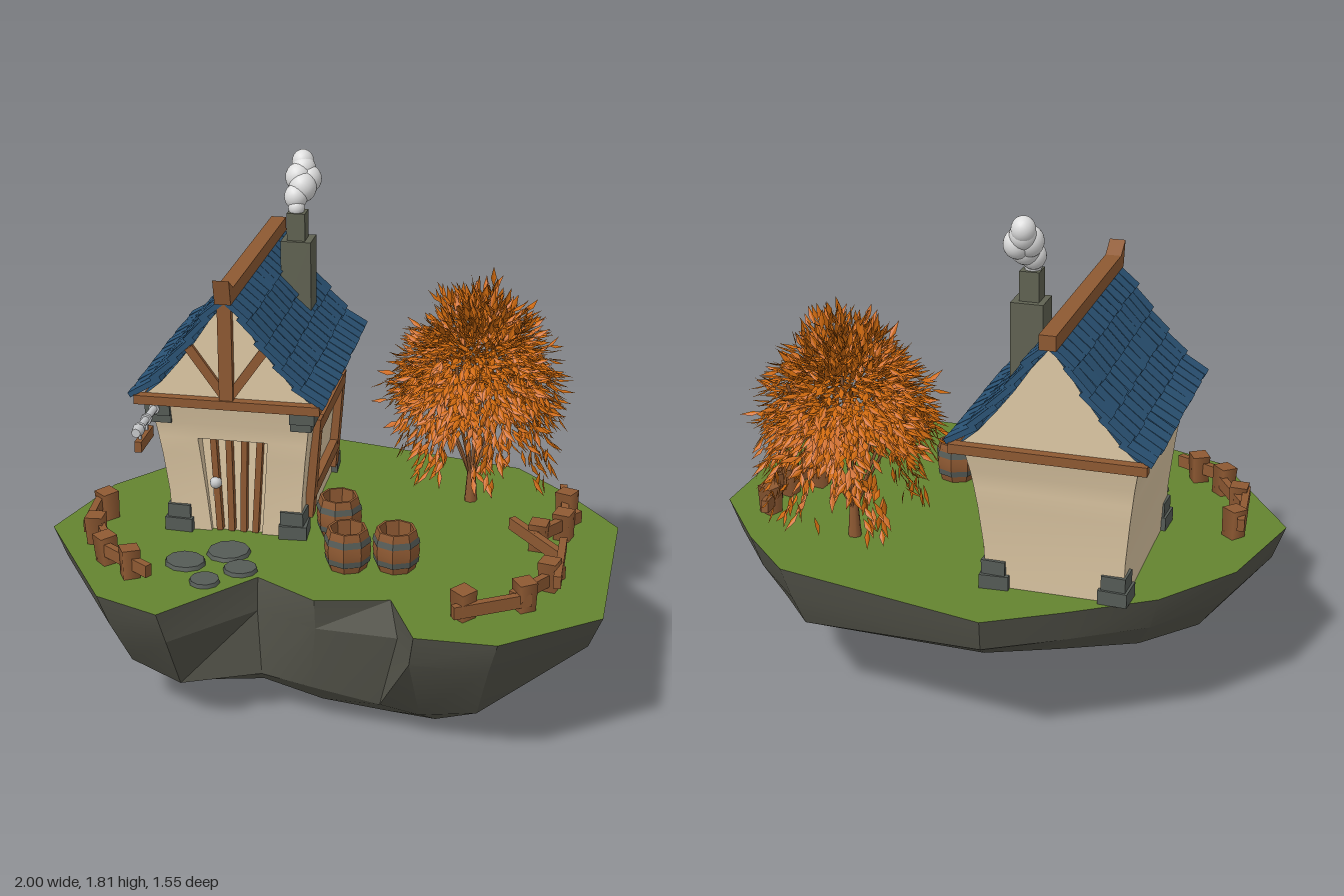
import * as THREE from 'three';
import { toCreasedNormals } from 'three/addons/utils/BufferGeometryUtils.js';

const V = (x, y, z) => new THREE.Vector3(x, y, z);
const paint = (name, color, side = THREE.FrontSide) => {
  const m = new THREE.MeshStandardMaterial({ color, side });
  m.name = name;
  return m;
};
const GROUND = 0.55, CX = -0.34, CZ = -0.2;

let seed = 7;
const rnd = () => (seed = (seed * 16807) % 2147483647) / 2147483647;
const jitter = s => V(rnd() - .5, rnd() - .5, rnd() - .5).multiplyScalar(s);

// Skin between rings of points, creased by angle
function loft(rings, crease) {
  const pos = [], n = rings[0].length;
  const tri = (...p) => {
    if (p[0].equals(p[1]) || p[1].equals(p[2]) || p[0].equals(p[2])) return;
    p.forEach(v => pos.push(v.x, v.y, v.z));
  };
  for (let r = 0; r < rings.length - 1; r++) for (let i = 0; i < n; i++) {
    const j = (i + 1) % n, a = rings[r], b = rings[r + 1];
    tri(a[i], a[j], b[j]);
    tri(a[i], b[j], b[i]);
  }
  const g = new THREE.BufferGeometry();
  g.setAttribute('position', new THREE.Float32BufferAttribute(pos, 3));
  g.computeVertexNormals();
  return toCreasedNormals(g, crease);
}

export function createModel() {
  const root = new THREE.Group();
  root.name = 'floatingCottage';
  const grass = paint('grass', 0x648430), rock = paint('rock', 0x55554b), plaster = paint('plaster', 0xdec8a4),
    wood = paint('wood', 0x8e5932), tile = paint('roofTile', 0x2a5274), stone = paint('cornerStone', 0x555b56),
    brick = paint('chimneyStone', 0x606252), silver = paint('silver', 0xc6c8ca), smoke = paint('smoke', 0xdedede),
    leaf = paint('autumnLeaf', 0xce690e, THREE.DoubleSide);

  const group = name => { const g = new THREE.Group(); g.name = name; root.add(g); return g; };
  const add = (parent, name, geo, mat, x = 0, y = 0, z = 0) => {
    const m = new THREE.Mesh(geo, mat);
    m.name = name;
    m.position.set(x, y, z);
    parent.add(m);
    return m;
  };
  const box = (parent, name, mat, x, y, z, w, h, d) => add(parent, name, new THREE.BoxGeometry(w, h, d), mat, x, y, z);
  // Wooden box running from a to b
  const beam = (parent, name, a, b, w, h) => {
    const m = new THREE.Mesh(new THREE.BoxGeometry(w, h, a.distanceTo(b)), wood);
    m.name = name;
    m.position.copy(a).lerp(b, 0.5);
    m.lookAt(b);
    parent.add(m);
  };

  // Island: outline, then lower rings closing on an underside point
  const outline = [[-1, .2], [-.89, -.19], [-.68, -.46], [-.4, -.64], [-.16, -.78], [.6, -.62], [.8, -.42], [1, -.16],
    [.98, .53], [.66, .77], [.39, .77], [.28, .53], [.03, .58], [-.19, .45], [-.46, .77], [-.69, .68]];
  const rim = outline.map(([x, z], i) => i === 11 ? V(.31, .43, .57) : i === 13 ? V(-.19, .43, .465) : V(x * .955, .43, z * .955));
  const mid = [[-.78, .27, .15], [-.76, .3, -.14], [-.6, .33, -.38], [-.36, .35, -.53], [-.14, .37, -.66], [.55, .31, -.54],
    [.7, .29, -.35], [.82, .31, -.12], [.76, .28, .4], [.58, .16, .55], [.38, .1, .5], [.24, .12, .49],
    [0, .17, .5], [-.18, .18, .46], [-.45, .16, .54], [-.64, .2, .48]];
  const low = [[-.54, .115, .2], [-.52, .14, .1], [-.46, .19, -.08], [-.3, .23, -.2], [-.1, .23, -.25], [.4, .13, -.12],
    [.45, .09, -.02], [.48, .05, .1], [.45, 0, .2], [.46, .01, .3], [.42, .015, .38], [.26, .035, .39],
    [.03, .085, .43], [-.18, .138, .42], [-.44, .105, .42], [-.53, .11, .36]];
  const island = group('island');
  add(island, 'rock', loft([
    outline.map(([x, z]) => V(x, GROUND, z)), rim,
    mid.map(p => V(...p)), low.map(p => V(...p)), low.map(() => V(.1, .075, .18))], 0.35), rock);
  const lawn = new THREE.ShapeGeometry(new THREE.Shape(outline.map(([x, z]) => new THREE.Vector2(x, -z))));
  add(island, 'lawn', lawn.rotateX(-Math.PI / 2), grass, 0, GROUND, 0);
  for (const [x, z, r] of [[-.46, .39, .075], [-.33, .29, .079], [-.26, .41, .058], [-.36, .515, .055]]) {
    const s = add(island, 'steppingStone', new THREE.CylinderGeometry(r * 0.93, r, 0.014, 10), stone, x, GROUND + 0.007, z);
    s.scale.z = 0.9 + rnd() * 0.2;
    s.rotation.y = rnd() * 3;
  }

  // Cottage walls, flaring upwards, with a doorway recess in front
  const house = group('cottage');
  const levels = [[.55, .235, .325, .092], [.7, .24, .333, .105], [.85, .255, .35, .118], [.92, .264, .361, .124],
    [.921, .264, .361, 0], [.98, .272, .372, 0], [1.08, .29, .398, 0]];
  add(house, 'walls', loft(levels.map(([y, w, d, open]) => {
    const o = open || 0.124, back = open ? 0.308 : d;
    return [[-w, d], [-o, d], [-o, back], [o, back], [o, d], [w, d], [w, -d], [-w, -d]].map(([x, z]) => V(CX + x, y, CZ + z));
  }), 0.6), plaster);

  // Gable block: plaster ends, tiled colour under the roof
  const slope = [[0, 1.46], [.06, 1.39], [.115, 1.31], [.175, 1.235], [.24, 1.16], [.318, 1.095]];
  const gable = new THREE.Shape([...slope.map(([x, y]) => new THREE.Vector2(x * 0.97, y - 0.014)),
    ...slope.slice(1).reverse().map(([x, y]) => new THREE.Vector2(-x * 0.97, y - 0.014))]);
  add(house, 'gables', new THREE.ExtrudeGeometry(gable, { depth: 0.82, bevelEnabled: false }), [plaster, tile], CX, 0, -0.61);

  // Overlapping roof tiles, lifted at their lower edge
  const roof = group('roof');
  const COUNT = 14, step = 0.87 / COUNT;
  for (const s of [-1, 1]) for (let r = 0; r < 5; r++) for (let k = 0; k < COUNT; k++) {
    const [x0, y0] = slope[r], [x1, y1] = slope[r + 1];
    const len = Math.hypot(x1 - x0, y1 - y0) + 0.02 + rnd() * 0.014;
    const t = box(roof, 'roofTile', tile, CX + s * ((x0 + x1) / 2 + 0.007), (y0 + y1) / 2 + 0.004,
      0.24 - (k + 0.5) * step, len, 0.019, step - 0.002 - rnd() * 0.004);
    t.rotation.z = s * (Math.atan2(y1 - y0, x1 - x0) + 0.13 + rnd() * 0.05);
  }
  const ridge = new THREE.Shape([[-.64, 1.45], [.25, 1.45], [.27, 1.54], [.21, 1.5], [-.64, 1.5]].map(p => new THREE.Vector2(...p)));
  add(roof, 'ridgeBeam', new THREE.ExtrudeGeometry(ridge, { depth: 0.056, bevelEnabled: false }).rotateY(-Math.PI / 2), wood, CX + 0.028);

  // Timber framing
  const timber = group('timber');
  for (const z of [0.226, -0.626]) box(timber, 'gableBeam', wood, CX, 1.085, z, 0.65, 0.032, 0.036);
  for (const s of [-1, 1]) {
    box(timber, 'eaveBeam', wood, CX + s * 0.29, 1.075, CZ, 0.03, 0.025, 0.83);
    beam(timber, 'gableBrace', V(CX + s * 0.01, 1.11, 0.215), V(CX + s * 0.13, 1.28, 0.215), 0.018, 0.032);
  }
  box(timber, 'gablePost', wood, CX, 1.27, 0.222, 0.048, 0.37, 0.03);
  const sideX = y => CX + 0.243 + Math.max(0, y - 0.65) * 0.085;
  for (const z of [0.03, -0.42]) beam(timber, 'framePost', V(sideX(.6), .6, z), V(sideX(.98) + 0.003, .98, z), 0.055, 0.04);
  for (const y of [0.69, 0.95]) beam(timber, 'frameRail', V(sideX(y) + 0.006, y, .05), V(sideX(y) + 0.006, y, -.44), 0.035, 0.045);

  // Upright plank door with latch, set in the recess
  const door = group('door');
  for (let i = 0; i < 4; i++) {
    const o = i - 1.5;
    beam(door, 'doorPlank', V(CX + .005 + o * .043, .56, .113), V(CX + .008 + o * .056, .918, .113), 0.048, 0.022);
  }
  add(door, 'doorKnob', new THREE.SphereGeometry(0.022, 10, 8), silver, -0.41, 0.745, 0.135);
  box(door, 'doorLatch', silver, -0.41, 0.72, 0.128, 0.02, 0.06, 0.012);

  // Corner stones at the feet, brackets under the front eaves
  const corners = group('cornerStones');
  for (const sx of [-1, 1]) for (const sz of [-1, 1]) {
    const x = CX + sx * 0.205, z = CZ + sz * 0.3;
    box(corners, 'footStone', stone, x, 0.575, z, 0.1, 0.05, 0.1).rotation.y = 0.06 * sx;
    box(corners, 'upperFootStone', stone, x, 0.625, z, 0.083, 0.05, 0.083).rotation.y = -0.05;
    if (sz < 0) continue;
    box(corners, 'bracketStone', stone, CX + sx * 0.255, 1.04, 0.157, 0.088, 0.05, 0.09);
    box(corners, 'lowerBracketStone', stone, CX + sx * 0.248, 1, 0.148, 0.074, 0.035, 0.075);
  }

  // Chimney and smoke
  const chimney = group('chimney');
  box(chimney, 'chimneyStack', brick, -0.205, 1.36, -0.35, 0.11, 0.3, 0.105);
  box(chimney, 'chimneyPot', brick, -0.207, 1.56, -0.347, 0.066, 0.1, 0.068);
  for (const [x, y, z, r] of [[-.21, 1.625, -.345, .03], [-.215, 1.66, -.36, .042], [-.195, 1.69, -.385, .05],
    [-.215, 1.72, -.405, .047], [-.178, 1.712, -.42, .045], [-.2, 1.745, -.43, .044], [-.205, 1.768, -.443, .04]])
    add(chimney, 'smokePuff', new THREE.IcosahedronGeometry(r, 3), smoke, x, y, z).scale.y = 1.1;

  // Hanging sign on a metal rod
  const sign = group('hangingSign');
  const rod = (r1, r2, len, z) => add(sign, 'signRod', new THREE.CylinderGeometry(r1, r2, len, 8).rotateX(Math.PI / 2), silver, -0.605, 1.04, z);
  rod(0.013, 0.013, 0.24, 0.29);
  rod(0.016, 0.022, 0.035, 0.41);
  for (const z of [0.2, 0.3, 0.38]) rod(0.02, 0.02, 0.014, z);
  for (const z of [0.3, 0.38]) box(sign, 'signHook', silver, -0.605, 1.015, z, 0.01, 0.05, 0.01);
  box(sign, 'signBoard', wood, -0.605, 0.982, 0.335, 0.024, 0.038, 0.15);

  // Open barrels
  const profile = [[0, 0], [.066, 0], [.077, .035], [.082, .07], [.078, .11], [.069, .147], [.06, .147], [.056, .03], [0, .03]]
    .map(p => new THREE.Vector2(...p));
  for (const [x, z] of [[.095, .31], [.26, .285], [.02, .06]]) {
    const b = group('barrel');
    b.position.set(x, GROUND, z);
    add(b, 'staves', toCreasedNormals(new THREE.LatheGeometry(profile, 8), 0.4), wood);
    add(b, 'barrelFloor', new THREE.CylinderGeometry(.054, .054, .006, 8), stone, 0, .03, 0);
    for (const [y, t, l] of [[.037, .081, .078], [.11, .078, .083]])
      add(b, 'hoop', toCreasedNormals(new THREE.CylinderGeometry(t, l, .022, 8, 1, true), 0.1), stone, 0, y, 0);
  }

  // Rustic fences
  const fence = group('fences');
  for (const [x, z] of [[-.83, .085], [-.81, .285], [-.73, .43], [-.62, .515],
    [.81, -.21], [.81, -.04], [.73, .06], [.79, .35], [.72, .51], [.53, .605]]) {
    const p = add(fence, 'fencePost', new THREE.CylinderGeometry(.045, .04, .11, 4), wood, x, GROUND + 0.05, z);
    p.rotation.set(rnd() * .1 - .05, rnd() * 2, rnd() * .1 - .05);
  }
  for (const [x0, z0, x1, z1] of [[-.86, .04, -.835, .31], [-.84, .2, -.7, .46], [-.73, .45, -.54, .565],
    [.79, -.31, .81, -.13], [.86, -.1, .71, .1], [.63, 0, .82, .22], [.82, .13, .82, .43], [.83, .3, .68, .53], [.74, .52, .5, .65]])
    beam(fence, 'fenceRail', V(x0, .59 + rnd() * .03, z0), V(x1, .59 + rnd() * .03, z1), 0.026, 0.045);

  // Tree: short trunk, spreading limbs
  const tree = group('tree');
  add(tree, 'trunk', new THREE.CylinderGeometry(.015, .025, .14, 7), wood, .45, .61, -.3);
  for (let i = 0; i < 8; i++) {
    const a = i * 2.4, r = i ? 0.12 + 0.1 * rnd() : 0.02, c = Math.cos(a), s = Math.sin(a);
    const path = new THREE.CatmullRomCurve3([V(.45, .64, -.3), V(.45 + c * r * .3, .78, -.3 + s * r * .3),
      V(.455 + c * r * .8, .97, -.3 + s * r * .8), V(.46 + c * r, 1.15, -.3 + s * r)]);
    add(tree, 'limb', new THREE.TubeGeometry(path, 8, .006, 5), wood);
  }
  // Drooping sprays of folded, pointed leaves, some hanging low
  const pos = [], put = (...p) => p.forEach(v => pos.push(v.x, v.y, v.z)), SPRAYS = 84;
  for (let k = 0; k < SPRAYS; k++) {
    const u = 1 - 1.25 * (k + 0.5) / SPRAYS, a = k * 2.39996, h = Math.sqrt(1 - u * u);
    const out = V(Math.cos(a) * h, u, Math.sin(a) * h);
    const reach = 0.235 + 0.065 * rnd();
    const drop = h * (0.07 + 0.1 * rnd()) + (u < 0.1 && k % 3 === 0 ? 0.17 : 0);
    for (let j = 0; j < 36; j++) {
      const t = 0.4 + 0.6 * Math.sqrt(rnd());
      const base = V(.455, 1.07, -.31).addScaledVector(out, reach * t).add(jitter(.09));
      base.y -= drop * t * t;
      const dir = out.clone().multiplyScalar(reach).add(V(0, -2 * drop * t, 0)).normalize().add(jitter(1.1)).normalize();
      const facing = out.clone().add(V(0, 0.6, 0)).add(jitter(0.8));
      const side = dir.clone().cross(facing).normalize();
      const fold = side.clone().cross(dir).multiplyScalar(.003);
      const len = 0.06 + 0.025 * rnd(), waist = base.clone().addScaledVector(dir, len * .45);
      const end = base.clone().addScaledVector(dir, len);
      put(base, waist.clone().addScaledVector(side, .0105).sub(fold), end);
      put(base, end, waist.clone().addScaledVector(side, -.0105).sub(fold));
    }
  }
  const leaves = new THREE.BufferGeometry();
  leaves.setAttribute('position', new THREE.Float32BufferAttribute(pos, 3));
  leaves.computeVertexNormals();
  add(tree, 'leaves', leaves, leaf);

  return root;
}
